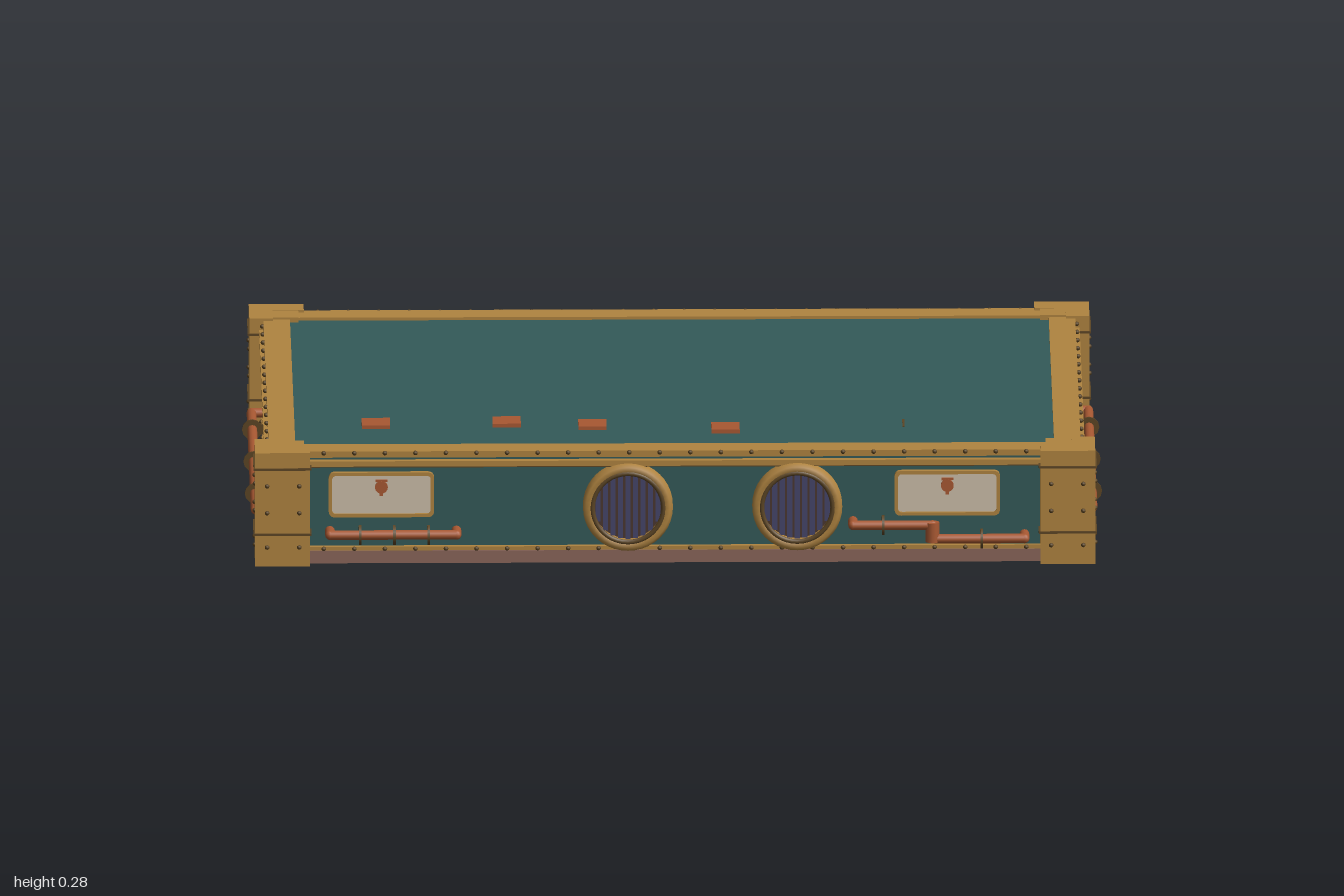
import * as THREE from 'three';

const mat = (name, color, side = THREE.FrontSide) => {
  const m = new THREE.MeshStandardMaterial({ color, side });
  m.name = name;
  return m;
};
const teal = mat('teal paint', 0x335a59);
const gold = mat('brass', 0xb08440);
const bronze = mat('dark bronze', 0x5c4524);
const copper = mat('copper', 0xa85832);
const cream = mat('cream plate', 0xcdbeaa);
const brown = mat('brown base', 0x8a665a);
const navy = mat('slate blue', 0x45456a);
const shade = mat('dark brown', 0x4a3630);

const W = 0.94, D = 0.61; // wall half extents

function add(parent, name, geo, material, x = 0, y = 0, z = 0) {
  const m = new THREE.Mesh(geo, material);
  m.name = name;
  m.position.set(x, y, z);
  parent.add(m);
  return m;
}

// box given by its minimum and maximum corners
function box(parent, name, material, x0, x1, y0, y1, z0, z1) {
  return add(parent, name, new THREE.BoxGeometry(x1 - x0, y1 - y0, z1 - z0), material,
    (x0 + x1) / 2, (y0 + y1) / 2, (z0 + z1) / 2);
}

// straight round bar between two points
function rod(parent, name, material, a, b, r) {
  const dir = b.clone().sub(a);
  const m = add(parent, name, new THREE.CylinderGeometry(r, r, dir.length(), 12), material);
  m.position.copy(a).add(b).multiplyScalar(0.5);
  m.quaternion.setFromUnitVectors(new THREE.Vector3(0, 1, 0), dir.normalize());
  return m;
}

const rivetGeo = new THREE.SphereGeometry(0.0055, 8, 6);
const rivet = (parent, x, y, z) => add(parent, 'rivet', rivetGeo, bronze, x, y, z);

function roundedRect(w, h, r, Type = THREE.Shape) {
  const s = new Type(), x = w / 2, y = h / 2;
  s.moveTo(-x + r, -y);
  s.lineTo(x - r, -y);
  s.quadraticCurveTo(x, -y, x, -y + r);
  s.lineTo(x, y - r);
  s.quadraticCurveTo(x, y, x - r, y);
  s.lineTo(-x + r, y);
  s.quadraticCurveTo(-x, y, -x, y - r);
  s.lineTo(-x, -y + r);
  s.quadraticCurveTo(-x, -y, -x + r, -y);
  return s;
}

// cream plate with a brass rim and a small copper badge
function panel(wall, x, y) {
  const g = new THREE.Group();
  g.name = 'panel';
  g.position.set(x, y, 0);
  wall.add(g);
  const rim = roundedRect(0.246, 0.108, 0.016);
  rim.holes.push(roundedRect(0.23, 0.092, 0.01, THREE.Path));
  add(g, 'panelRim', new THREE.ExtrudeGeometry(rim, { depth: 0.012, bevelEnabled: false }), gold);
  add(g, 'panelPlate', new THREE.ExtrudeGeometry(roundedRect(0.236, 0.098, 0.012),
    { depth: 0.006, bevelEnabled: false }), cream);
  const badge = add(g, 'badge', new THREE.CylinderGeometry(0.015, 0.015, 0.006, 16), copper, 0, 0.018, 0.008);
  badge.rotation.x = Math.PI / 2;
  box(g, 'badgeTop', copper, -0.014, 0.014, 0.031, 0.036, 0.005, 0.01);
  box(g, 'badgeTip', copper, -0.004, 0.004, -0.003, 0.005, 0.005, 0.01);
}

// pipe with elbows back into the wall and bronze clips
function pipe(wall, x0, x1, y, out, clips, ends = [true, true]) {
  const g = new THREE.Group();
  g.name = 'pipe';
  wall.add(g);
  const r = 0.0115;
  rod(g, 'pipeRun', copper, new THREE.Vector3(x0, y, out), new THREE.Vector3(x1, y, out), r);
  [x0, x1].forEach((x, i) => {
    add(g, 'elbow', new THREE.SphereGeometry(r, 12, 8), copper, x, y, out);
    if (ends[i]) rod(g, 'pipeEnd', copper, new THREE.Vector3(x, y, 0), new THREE.Vector3(x, y, out), r);
  });
  for (const x of clips) {
    rod(g, 'clip', bronze, new THREE.Vector3(x - 0.003, y, out), new THREE.Vector3(x + 0.003, y, out), 0.024);
    box(g, 'clipFoot', bronze, x - 0.003, x + 0.003, y - 0.012, y + 0.012, 0, out);
  }
}

// round vent with a brass ring and upright slats
function porthole(wall, x, y) {
  const g = new THREE.Group();
  g.name = 'porthole';
  g.position.set(x, y, 0);
  wall.add(g);
  const profile = [[0.08, 0], [0.08, 0.022], [0.086, 0.03], [0.098, 0.03], [0.105, 0.022], [0.105, 0]]
    .map(([a, b]) => new THREE.Vector2(a, b)).reverse();
  const ring = new THREE.LatheGeometry(profile, 40);
  add(g, 'portholeRing', ring, mats.ring).rotation.x = Math.PI / 2;
  add(g, 'innerRing', new THREE.TorusGeometry(0.083, 0.006, 8, 40), bronze, 0, 0, 0.026);
  add(g, 'portholeBack', new THREE.CircleGeometry(0.082, 32), shade, 0, 0, 0.003);
  for (let i = -4; i <= 4; i++) {
    const sx = i * 0.0175, h = Math.sqrt(0.079 ** 2 - sx * sx);
    box(g, 'slat', navy, sx - 0.006, sx + 0.006, -h, h, 0.003, 0.012);
  }
}
const mats = { ring: mat('brass ring', 0xb08440, THREE.DoubleSide) };

// one side: strips with rivets; local +z points outward
function makeWall(root, name, angle, dist, half) {
  const g = new THREE.Group();
  g.name = name;
  g.rotation.y = angle;
  g.position.set(Math.sin(angle) * dist, 0, Math.cos(angle) * dist);
  root.add(g);
  box(g, 'middleRail', gold, -half, half, 0.234, 0.247, -0.005, 0.017);
  box(g, 'railShadow', bronze, -half, half, 0.231, 0.234, -0.005, 0.014);
  box(g, 'lowerTrim', gold, -half, half, 0.028, 0.039, -0.005, 0.012);
  const n = Math.round(half * 2 / 0.07);
  for (let i = 0; i < n; i++) {
    const x = -half + (i + 0.5) * half * 2 / n;
    rivet(g, x, 0.034, 0.012);
    rivet(g, x, 0.265, 0.01);
  }
  return g;
}

export function createModel() {
  const root = new THREE.Group();
  root.name = 'platform';
  box(root, 'body', teal, -W, W, 0.02, 0.262, -D, D);
  box(root, 'base', brown, -W - 0.012, W + 0.012, 0, 0.03, -D - 0.015, D + 0.015);

  // brass border around the top
  for (const s of [-1, 1]) {
    const ends = (a, b) => s > 0 ? [a, b] : [-b, -a];
    box(root, 'topBorderLong', gold, -0.945, 0.945, 0.254, 0.269, ...ends(0.555, 0.62));
    box(root, 'topBorderShort', gold, ...ends(0.885, 0.947), 0.254, 0.2688, -0.6, 0.6);
  }

  // corner posts with bands and rivets
  for (const sx of [-1, 1]) for (const sz of [-1, 1]) {
    const g = new THREE.Group();
    g.name = 'cornerPost';
    root.add(g);
    const part = (name, m, x0, x1, y0, y1, z0, z1) => box(g, name, m,
      Math.min(sx * x0, sx * x1), Math.max(sx * x0, sx * x1), y0, y1,
      Math.min(sz * z0, sz * z1), Math.max(sz * z0, sz * z1));
    part('postCore', gold, 0.865, 0.96, 0.25, 0.274, 0.54, 0.64);
    part('postFace', gold, 0.852, 0.98, 0.001, 0.275, 0.6, 0.655);
    part('postSide', gold, 0.925, 0.98, 0.001, 0.275, 0.528, 0.655);
    for (const y of [0.078, 0.236]) {
      part('postBand', bronze, 0.848, 0.984, y - 0.0025, y + 0.0025, 0.606, 0.659);
      part('postBand', bronze, 0.93, 0.984, y - 0.0025, y + 0.0025, 0.524, 0.659);
    }
    for (const y of [0.047, 0.13, 0.195]) for (const t of [0.025, 0.1]) {
      rivet(g, sx * (0.852 + t), y, sz * 0.655);
      rivet(g, sx * 0.98, y, sz * (0.528 + t));
    }
  }

  // front: two panels, two vents, stepped pipes
  const front = makeWall(root, 'frontWall', 0, D, 0.855);
  panel(front, -0.685, 0.164);
  panel(front, 0.635, 0.164);
  porthole(front, -0.11, 0.135);
  porthole(front, 0.285, 0.135);
  pipe(front, -0.805, -0.51, 0.075, 0.04, [-0.735, -0.655, -0.575]);
  pipe(front, 0.415, 0.6, 0.095, 0.04, [0.485], [true, false]);
  pipe(front, 0.6, 0.815, 0.062, 0.04, [0.715], [false, true]);
  rod(front, 'pipeJoint', copper, new THREE.Vector3(0.6, 0.055, 0.04), new THREE.Vector3(0.6, 0.102, 0.04), 0.016);

  // back: three panels and one long pipe
  const back = makeWall(root, 'backWall', Math.PI, D, 0.855);
  for (const x of [-0.53, 0, 0.53]) panel(back, x, 0.16);
  pipe(back, -0.77, 0.77, 0.075, 0.042, [-0.54, -0.18, 0.18, 0.54]);

  // short sides
  for (const s of [-1, 1]) {
    const side = makeWall(root, s > 0 ? 'leftWall' : 'rightWall', s * Math.PI / 2, W, 0.53);
    for (const x of [-0.223, 0.223]) panel(side, x, 0.157);
    pipe(side, -0.425, 0.425, 0.075, 0.036, [-0.28, 0, 0.28]);
  }

  // small copper plates on the deck
  for (const [x, z] of [[-0.695, 0.365], [-0.39, 0.355], [-0.19, 0.38], [0.12, 0.413]])
    box(root, 'deckPlate', copper, x - 0.033, x + 0.033, 0.262, 0.271, z - 0.033, z + 0.033);
  box(root, 'deckSlot', bronze, 0.533, 0.538, 0.26, 0.264, 0.33, 0.395);
  return root;
}
